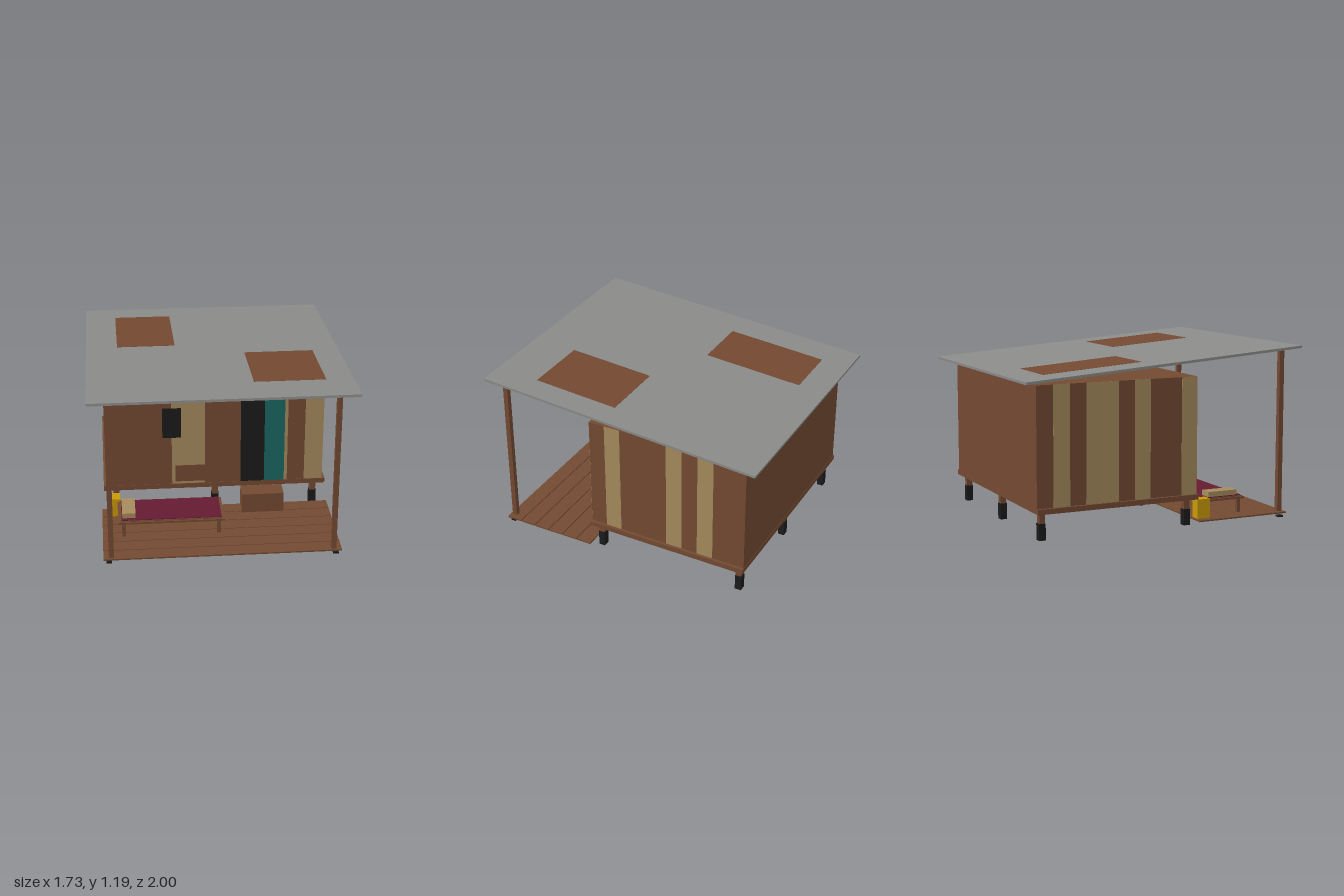
import * as THREE from 'three';

const material = (name, color) => new THREE.MeshStandardMaterial({ name, color });

export function createModel() {
  const wood = material('brown wood', 0x744a32);
  const tan = material('tan panel', 0xa68c5d);
  const black = material('black', 0x1b1b1b);
  const teal = material('teal door', 0x196762);
  const grey = material('grey roof', 0x8b8c8a);
  const yellow = material('yellow crate', 0xc89a08);
  const maroon = material('maroon mat', 0x661b32);

  const model = new THREE.Group();
  model.name = 'stiltHut';

  // Box given by its limits on each axis
  const box = (name, mat, [x0, x1], [y0, y1], [z0, z1], parent = model) => {
    const mesh = new THREE.Mesh(new THREE.BoxGeometry(x1 - x0, y1 - y0, z1 - z0), mat);
    mesh.position.set((x0 + x1) / 2, (y0 + y1) / 2, (z0 + z1) / 2);
    mesh.name = name;
    parent.add(mesh);
    return mesh;
  };
  const around = (c, w) => [c - w / 2, c + w / 2];
  const group = (name) => {
    const g = new THREE.Group();
    g.name = name;
    model.add(g);
    return g;
  };

  // Cabin body and floor
  const back = -0.89, front = 0.26, side = 0.755, base = 0.218, top = 1.008;
  box('floorSlab', wood, [-0.775, 0.775], [0.183, base], [back - 0.002, front + 0.003]);
  box('cabinWalls', wood, [-side, side], [base, top], [back, front]);

  // Stilts with black feet
  const stilts = group('stilts');
  for (const x of [-0.69, 0.005, 0.697]) {
    for (const z of [0.21, -0.837]) {
      box('stiltFoot', black, around(x, 0.05), [0, 0.11], around(z, 0.045), stilts);
      box('stiltPost', wood, around(x, 0.042), [0.11, 0.183], around(z, 0.04), stilts);
    }
  }

  // Tan panels on the front and both sides
  const panels = group('wallPanels');
  for (const x of [[-0.298, -0.067], [0.28, 0.393], [0.394, 0.507], [0.627, side]]) {
    box('frontPanel', tan, x, [base, top], [front, front + 0.001], panels);
  }
  const pitch = (front - back) / 10;
  const sidePanels = (x, slots) => slots.forEach((i) => box('sidePanel', tan, around(x, 0.002),
    [base, top], [back + i * pitch, back + (i + 1) * pitch], panels));
  sidePanels(side, [2, 4, 8]);
  sidePanels(-side, [1, 3, 4, 6, 9]);

  // Front details
  box('wallPatch', wood, [-0.275, -0.067], [0.235, 0.36], [front, front + 0.002]);
  box('window', black, [-0.362, -0.233], [0.575, 0.798], [front, front + 0.002]);
  box('doorway', black, [0.18, 0.47], [base, 0.902], [front, front + 0.002]);
  box('door', teal, [0.345, 0.485], [base, 0.884], [front, front + 0.003]);
  box('step', wood, [0.18, 0.47], [0, 0.181], [front, 0.393]);

  // Sloping roof with two rusty patches
  const roof = group('roof');
  const slope = Math.atan(0.074);
  roof.position.y = 1.1095;
  roof.rotation.x = -slope;
  const half = 0.999 / Math.cos(slope);
  box('roofSheet', grey, [-0.865, 0.865], [-0.0085, 0.0085], [-half, half], roof);
  box('roofPatch', wood, [-0.65, -0.25], [0.0085, 0.0095], [-0.8, -0.1], roof);
  box('roofPatch', wood, [0.215, 0.685], [0.0085, 0.0095], [0.1, 0.7], roof);

  // Plank deck
  const deck = group('deck');
  const planks = 6, plank = 0.685 / planks;
  for (let i = 0; i < planks; i++) {
    const z = 0.263 + i * plank;
    box('plank', wood, [-0.792, 0.792], [0.03, 0.04], [z + 0.003, z + plank - 0.003], deck);
  }

  // Porch posts and footings
  for (const s of [-1, 1]) {
    box('porchPost', wood, around(s * 0.739, 0.034), [0.035, 1.172], around(0.912, 0.034));
    box('porchFooting', black, around(s * 0.755, 0.037), [0, 0.012], around(0.914, 0.036));
  }

  // Low bed with mat and pillow
  const bed = group('bed');
  box('bedFrame', wood, [-0.685, 0.033], [0.138, 0.152], [0.36, 0.67], bed);
  box('bedBoard', wood, [-0.672, 0.021], [0.152, 0.158], [0.37, 0.66], bed);
  box('mat', maroon, [-0.662, 0.014], [0.157, 0.163], [0.375, 0.652], bed);
  box('pillow', tan, [-0.657, -0.567], [0.163, 0.198], [0.406, 0.626], bed);
  for (const x of [-0.648, -0.005]) {
    for (const z of [0.643, 0.378]) {
      box('bedLeg', wood, around(x, 0.025), [0.04, 0.138], around(z, 0.025), bed);
    }
  }

  // Crate beside the bed
  box('crate', yellow, [-0.735, -0.665], [0.04, 0.172], [0.28, 0.375]);

  return model;
}
